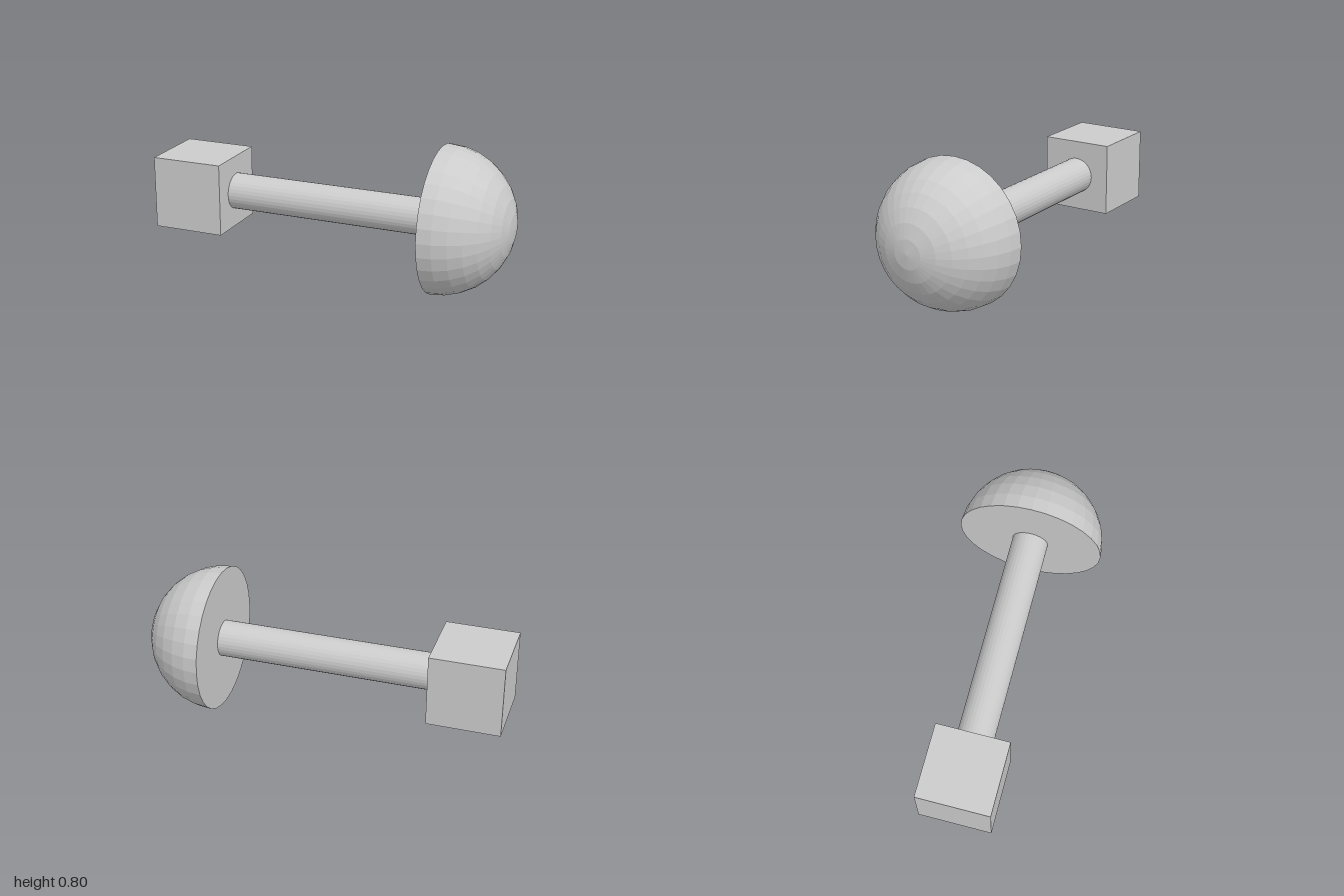
import * as THREE from 'three';

export function createModel() {
  const group = new THREE.Group();
  const material = new THREE.MeshStandardMaterial({ color: 0xcccccc, flatShading: true });
  const axisY = 0.4, sides = 32;

  const add = (name, geometry, x) => {
    const mesh = new THREE.Mesh(geometry, material);
    mesh.name = name;
    mesh.position.set(x, axisY, 0);
    group.add(mesh);
  };

  // Square end block
  add('block', new THREE.BoxGeometry(0.4, 0.4, 0.4), -0.8);

  // Round shaft along x
  add('shaft', new THREE.CylinderGeometry(0.1, 0.1, 1.2, sides).rotateZ(-Math.PI / 2), 0);

  // Faceted half-sphere with a flat back, bulging towards +x
  const radius = 0.4, rings = 8;
  const profile = [new THREE.Vector2(0, 0)];
  for (let i = 0; i <= rings; i++) {
    const a = (i / rings) * Math.PI / 2;
    profile.push(new THREE.Vector2(i === rings ? 0 : radius * Math.cos(a), radius * Math.sin(a)));
  }
  add('dome', new THREE.LatheGeometry(profile, sides).rotateZ(-Math.PI / 2), 0.6);

  return group;
}
